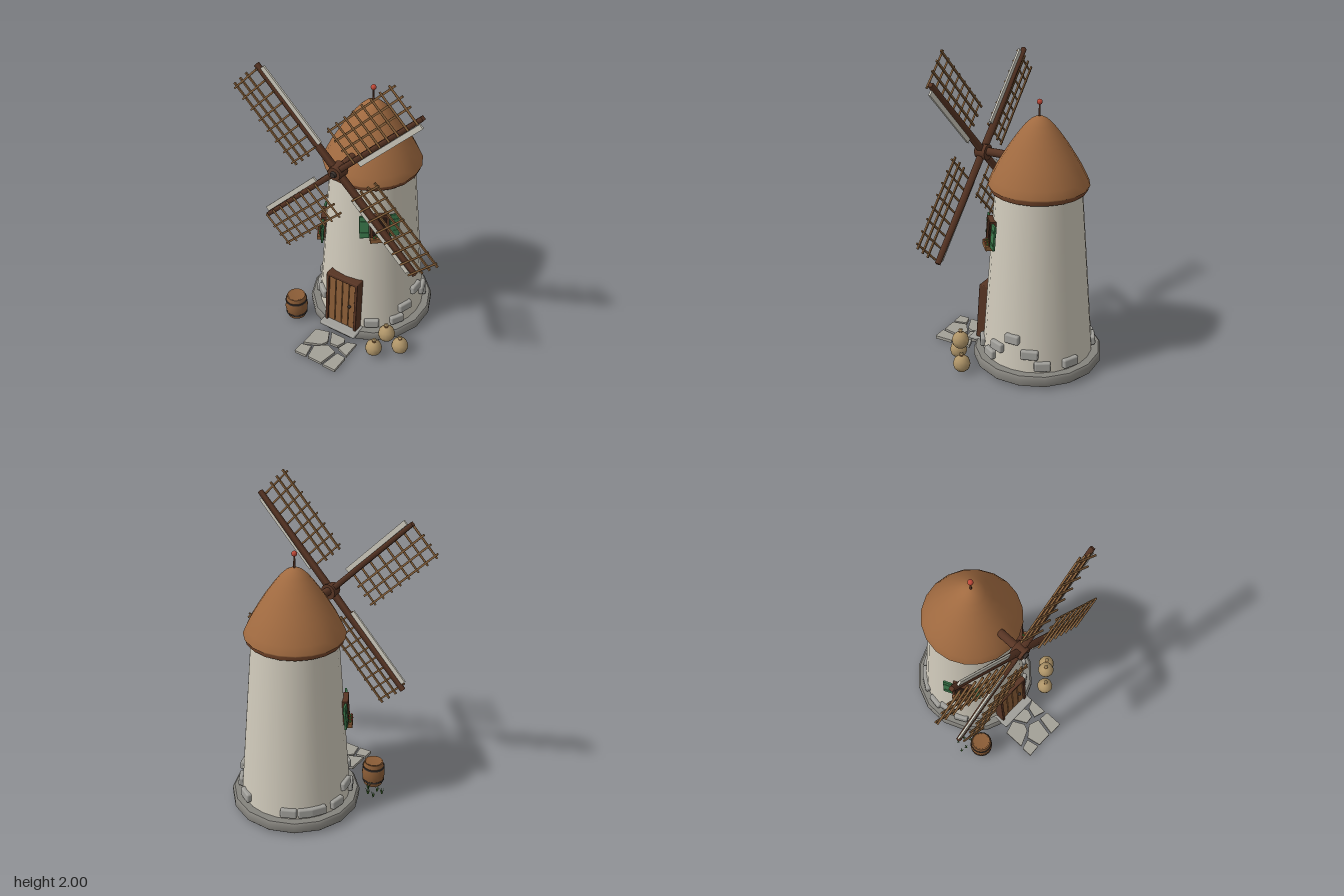
import * as THREE from 'three';
import { RoundedBoxGeometry } from 'three/addons/geometries/RoundedBoxGeometry.js';

const AXIS_Z = -0.14;
const mat = (color, extra = {}) => new THREE.MeshStandardMaterial({ color, ...extra });
const M = {
  wall: mat(0xcfc9ba), base: mat(0x85837d), stone: mat(0xa09f9a), path: mat(0xa3a097),
  roof: mat(0xa06a40), rim: mat(0x74452a), dark: mat(0x583524), wood: mat(0x8a5c36),
  lattice: mat(0x86603a), board: mat(0xcac7bb), black: mat(0x2a1a14), iron: mat(0x38302c),
  green: mat(0x3c7a4c), leaf: mat(0x4a7a35, { side: THREE.DoubleSide }), red: mat(0xc04838),
  sack: mat(0xae9468),
};

function add(parent, name, geo, material, x = 0, y = 0, z = 0) {
  const m = new THREE.Mesh(geo, material);
  m.name = name;
  m.position.set(x, y, z);
  parent.add(m);
  return m;
}
const box = (w, h, d) => new THREE.BoxGeometry(w, h, d);
const rbox = (w, h, d, r = 0.008) => new RoundedBoxGeometry(w, h, d, 2, r);
const cyl = (a, b, h, n = 12) => new THREE.CylinderGeometry(a, b, h, n);
const lathe = (pts, n) => new THREE.LatheGeometry(pts.map(p => new THREE.Vector2(...p)), n);
function group(parent, name, x = 0, y = 0, z = 0) {
  const g = new THREE.Group();
  g.name = name;
  g.position.set(x, y, z);
  parent.add(g);
  return g;
}

// Tapering wall radius, and a group lying on the wall with z pointing outward
const wallRadius = y => 0.347 - 0.08 * (y - 0.08);
function onWall(parent, name, degrees, y) {
  const a = THREE.MathUtils.degToRad(degrees), r = wallRadius(y);
  const g = group(parent, name, Math.sin(a) * r, y, AXIS_Z + Math.cos(a) * r);
  g.rotation.set(-0.08, a, 0, 'YXZ');
  return g;
}

function buildTower(root) {
  const base = add(root, 'foundation', lathe([[0, 0.015], [0.4, 0.015], [0.4, 0.015], [0.408, 0.025],
    [0.408, 0.066], [0.395, 0.08], [0.395, 0.08], [0, 0.08]], 16), M.base, 0, 0, AXIS_Z);
  base.rotation.y = Math.PI / 16;
  add(root, 'towerWall', cyl(wallRadius(1.16), wallRadius(0.07), 1.09, 24), M.wall, 0, 0.615, AXIS_Z);
  // Domed cap with a darker band under its eave
  add(root, 'roofBand', lathe([[0.2, 1.14], [0.286, 1.14], [0.286, 1.14], [0.294, 1.15], [0.294, 1.18]], 20),
    M.rim, 0, 0, AXIS_Z);
  add(root, 'roof', lathe([[0.24, 1.17], [0.3, 1.17], [0.3, 1.17], [0.305, 1.18], [0.285, 1.225], [0.255, 1.285],
    [0.222, 1.34], [0.172, 1.42], [0.122, 1.49], [0.082, 1.54], [0.05, 1.57], [0.02, 1.585], [0, 1.588]], 20),
    M.roof, 0, 0, AXIS_Z);
  add(root, 'finialPole', cyl(0.005, 0.007, 0.1, 8), M.dark, 0, 1.62, AXIS_Z);
  add(root, 'finialBall', new THREE.SphereGeometry(0.017, 12, 8), M.red, 0, 1.67, AXIS_Z);

  // Loose stones showing through the plaster
  const stones = [[90, 0.285], [71, 0.2], [109, 0.2], [60, 0.125], [122, 0.125], [152, 0.125], [32, 0.125],
    [-37, 0.2], [-80, 0.2], [-62, 0.125], [-98, 0.125], [-122, 0.125], [-135, 0.125], [-152, 0.125]];
  stones.forEach(([a, y], i) => {
    add(onWall(root, 'wallStone', a, y), 'stoneBlock', rbox(0.095 + 0.006 * (i % 3), 0.06, 0.045, 0.012), M.stone);
  });
}

function buildDoor(root) {
  const door = onWall(root, 'door', 0, 0.27);
  add(door, 'doorBacking', box(0.22, 0.36, 0.05), M.black, 0, 0, -0.005);
  for (let i = 0; i < 4; i++) {
    add(door, 'doorPlank', rbox(0.047, 0.35, 0.02, 0.004), M.wood, (i - 1.5) * 0.05, -0.01, 0.018);
  }
  for (const s of [-1, 1]) add(door, 'doorPost', rbox(0.02, 0.38, 0.07, 0.005), M.dark, s * 0.107, 0, 0.005);
  add(door, 'doorLintel', rbox(0.234, 0.025, 0.07, 0.006), M.dark, 0, 0.18, 0.005);
  add(door, 'doorKnob', new THREE.SphereGeometry(0.011, 10, 8), M.iron, 0.06, -0.01, 0.034);
  add(root, 'doorStep', rbox(0.27, 0.022, 0.13), M.stone, 0, 0.072, 0.225);
}

function buildWindow(root, degrees, y) {
  const w = onWall(root, 'window', degrees, y);
  add(w, 'windowOpening', box(0.1, 0.15, 0.03), M.black);
  for (const s of [-1, 1]) {
    add(w, 'windowPost', box(0.016, 0.16, 0.045), M.dark, s * 0.05, 0, 0.005);
    const shutter = group(w, 'shutter', s * 0.06, 0, 0.016);
    shutter.rotation.y = s * 0.12;
    add(shutter, 'shutterPanel', rbox(0.06, 0.155, 0.014, 0.004), M.green, s * 0.032, 0, 0);
    for (const v of [-0.04, 0.04]) add(shutter, 'shutterBatten', box(0.046, 0.012, 0.02), M.green, s * 0.032, v, 0);
  }
  add(w, 'windowLintel', box(0.116, 0.016, 0.05), M.dark, 0, 0.075, 0.005);
  // Flower box beneath the opening
  add(w, 'flowerBox', rbox(0.12, 0.03, 0.05, 0.004), M.wood, 0, -0.088, 0.022);
  for (let i = 0; i < 7; i++) {
    const x = (i - 3) * 0.016, z = 0.022 + (i % 2 ? 0.009 : -0.006);
    add(w, 'flowerLeaves', new THREE.IcosahedronGeometry(0.012, 0), M.leaf, x, -0.07, z);
    add(w, 'flower', new THREE.SphereGeometry(0.006, 6, 5), M.red, x + 0.004, -0.062, z + 0.009);
  }
}

function buildSails(root) {
  const shaft = add(root, 'sailShaft', cyl(0.026, 0.026, 0.24, 12), M.dark, 0, 1.315, 0.12);
  shaft.rotation.x = Math.PI / 2;
  const sails = group(root, 'sails', 0, 1.31, 0);
  const hub = add(sails, 'hub', cyl(0.042, 0.05, 0.075, 12), M.dark, 0, 0, 0.243);
  const cap = add(sails, 'hubCap', cyl(0.016, 0.022, 0.02, 10), M.iron, 0, 0, 0.286);
  hub.rotation.x = cap.rotation.x = Math.PI / 2;
  for (let k = 0; k < 4; k++) {
    const sail = group(sails, 'sail');
    sail.rotation.z = Math.PI / 4 + k * Math.PI / 2;
    const spar = add(sail, 'sailSpar', cyl(0.018, 0.024, 0.75, 4), M.dark, 0, 0.375, 0.244);
    spar.geometry.rotateY(Math.PI / 4);
    add(sail, 'windBoard', box(0.03, 0.53, 0.012), M.board, 0.031, 0.45, 0.25);
    // Lattice of long laths and cross rungs on one side of the spar
    for (const x of [-0.085, -0.15, -0.215]) {
      add(sail, 'latticeLath', box(0.012, 0.59, 0.01), M.lattice, x, 0.455, 0.271);
    }
    for (let i = 0; i < 8; i++) {
      const rung = add(sail, 'latticeRung', cyl(0.006, 0.007, 0.245, 6), M.lattice, -0.112, 0.185 + i * 0.077, 0.278);
      rung.rotation.z = Math.PI / 2;
    }
  }
}

function buildBarrel(root) {
  const b = group(root, 'barrel', -0.345, 0.015, 0.25);
  add(b, 'barrelBody', lathe([[0, 0], [0.06, 0], [0.06, 0], [0.07, 0.04], [0.075, 0.082], [0.07, 0.125],
    [0.06, 0.165], [0.06, 0.165], [0.053, 0.165], [0.053, 0.158], [0, 0.158]], 16), M.wood);
  for (const [y, r] of [[0.035, 0.069], [0.13, 0.069]]) {
    add(b, 'barrelHoop', cyl(r + 0.003, r + 0.003, 0.013, 16), M.iron, 0, y, 0);
  }
}

function buildSacks(root) {
  const profile = [[0, 0], [0.03, 0.002], [0.048, 0.022], [0.054, 0.048], [0.046, 0.078], [0.026, 0.097],
    [0.01, 0.104], [0.008, 0.108], [0.014, 0.12], [0, 0.118]];
  [[0.275, 0.015, 0.28], [0.41, 0.015, 0.175], [0.342, 0.13, 0.225]].forEach(([x, y, z], i) => {
    const sack = group(root, 'sack', x, y, z);
    sack.rotation.z = (i - 1) * 0.06;
    add(sack, 'sackBody', lathe(profile, 14), M.sack);
    const tie = add(sack, 'sackTie', new THREE.TorusGeometry(0.01, 0.003, 5, 10), M.wood, 0, 0.105, 0);
    tie.rotation.x = Math.PI / 2;
  });
}

function buildPath(root) {
  // Outlines as x, z pairs
  const slabs = [
    [[-0.15, 0.31], [-0.06, 0.285], [-0.02, 0.36], [-0.04, 0.405], [-0.15, 0.45]],
    [[-0.045, 0.28], [0.06, 0.28], [0.075, 0.31], [0.055, 0.36], [0, 0.365]],
    [[0.09, 0.3], [0.148, 0.28], [0.148, 0.4], [0.068, 0.374]],
    [[-0.075, 0.44], [0, 0.385], [0.07, 0.41], [0.045, 0.535], [-0.055, 0.535]],
    [[-0.155, 0.468], [-0.088, 0.45], [-0.07, 0.535], [-0.155, 0.54]],
    [[0.088, 0.412], [0.152, 0.418], [0.152, 0.54], [0.062, 0.54]],
  ];
  for (const pts of slabs) {
    const shape = new THREE.Shape(pts.map(([x, z]) => new THREE.Vector2(x, -z)));
    const geo = new THREE.ExtrudeGeometry(shape, { depth: 0.02, bevelEnabled: false });
    add(root, 'pathSlab', geo.rotateX(-Math.PI / 2), M.path);
  }
}

function buildGrass(root) {
  const tufts = [[-0.43, 0.11], [-0.46, 0.17], [-0.385, 0.12], [-0.42, 0.175], [-0.36, 0.165]];
  tufts.forEach(([x, z], t) => {
    const tuft = group(root, 'grassTuft', x, 0.015, z);
    for (let i = 0; i < 4; i++) {
      const h = 0.04 + 0.008 * ((i + t) % 3);
      const blade = add(tuft, 'grassBlade', new THREE.ConeGeometry(0.005, h, 3).translate(0, h / 2, 0), M.leaf);
      blade.rotation.set(0.35, i * 1.6 + t, 0, 'YXZ');
    }
  });
}

export function createModel() {
  const root = new THREE.Group();
  root.name = 'windmill';
  buildTower(root);
  buildDoor(root);
  buildWindow(root, 40, 0.885);
  buildWindow(root, -60, 0.67);
  buildSails(root);
  buildBarrel(root);
  buildSacks(root);
  buildPath(root);
  buildGrass(root);
  return root;
}
